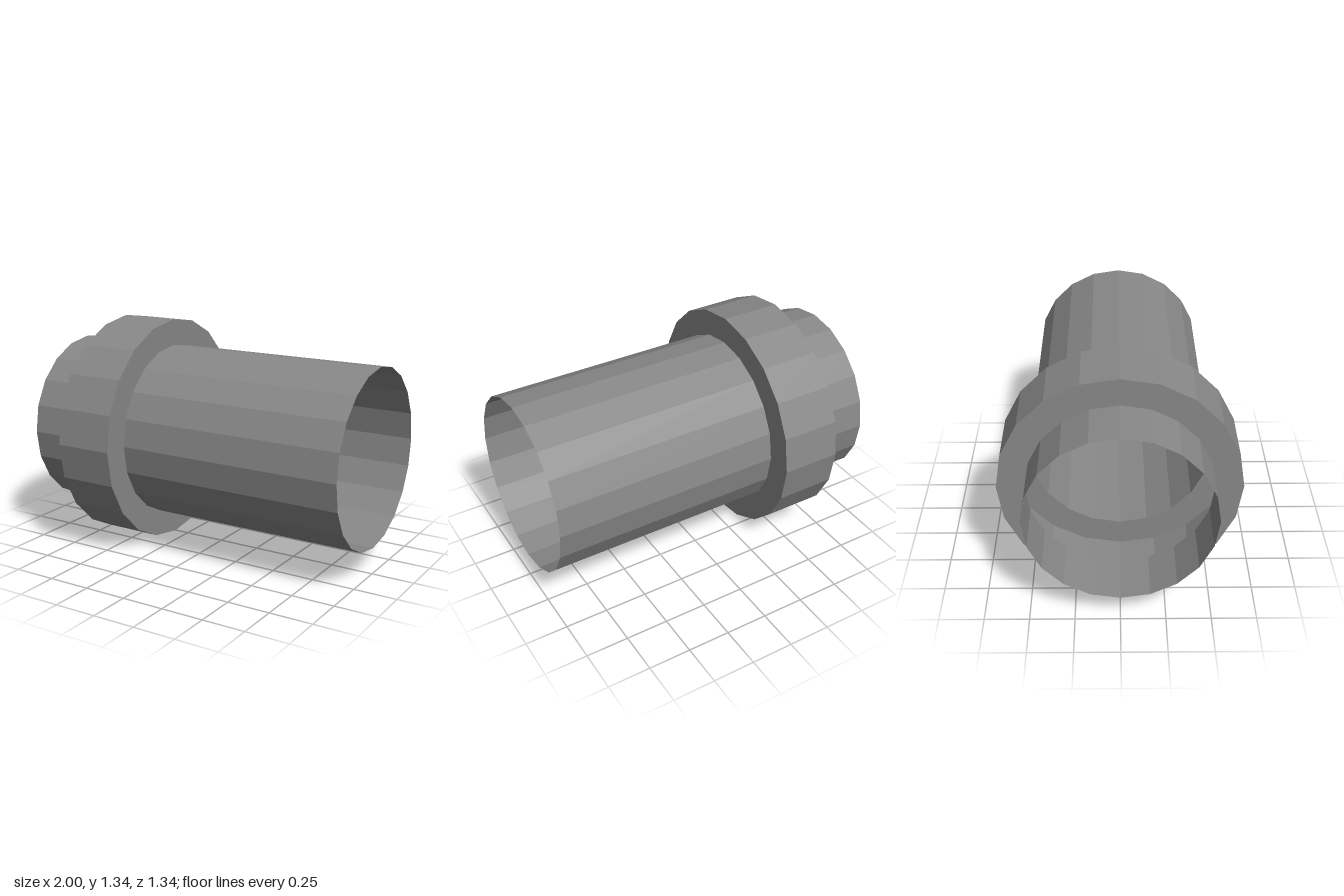
import * as THREE from 'three';

const SIDES = 20;
const PIPE_R = 0.517;
const COLLAR_R = 0.672;
const COLLAR_START = -0.69;
const COLLAR_END = -0.34;

// Thin open shell turned around the pipe axis; profile points are [radius, position along the axis]
function turned(name, profile, material) {
  const points = profile.map(([r, x]) => new THREE.Vector2(r, x));
  const geometry = new THREE.LatheGeometry(points, SIDES);
  geometry.rotateZ(-Math.PI / 2); // axis along x
  const mesh = new THREE.Mesh(geometry, material);
  mesh.name = name;
  mesh.position.y = COLLAR_R;
  return mesh;
}

export function createModel() {
  const group = new THREE.Group();
  group.name = 'pipeWithCollar';
  const material = new THREE.MeshStandardMaterial({
    color: 0x888888,
    flatShading: true,
    side: THREE.DoubleSide,
  });

  // Short and long open pipe ends
  group.add(turned('shortPipe', [[PIPE_R, -1], [PIPE_R, COLLAR_START]], material));
  group.add(turned('longPipe', [[PIPE_R, COLLAR_END], [PIPE_R, 1]], material));

  // Hollow collar that widens the bore between them
  group.add(turned('collar', [
    [PIPE_R, COLLAR_START],
    [COLLAR_R, COLLAR_START],
    [COLLAR_R, COLLAR_END],
    [PIPE_R, COLLAR_END],
  ], material));

  return group;
}
